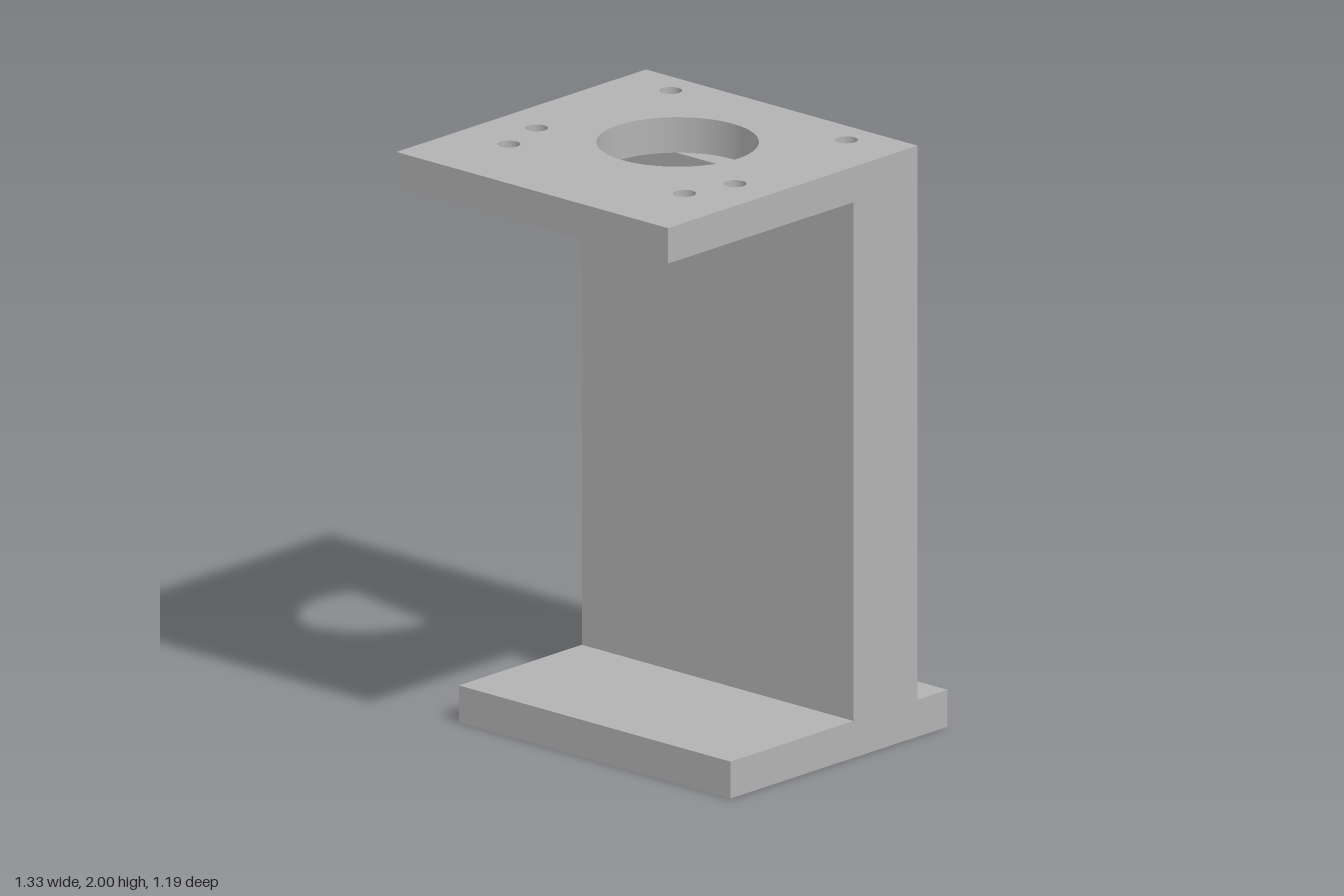
import * as THREE from 'three';

const DEPTH = 1.19; // shared z width of all three slabs

export function createModel() {
  const group = new THREE.Group();
  const greyMetal = new THREE.MeshStandardMaterial({ color: 0xb2b2b2 });
  greyMetal.name = 'greyMetal';

  const add = (name, geometry) => {
    const mesh = new THREE.Mesh(geometry, greyMetal);
    mesh.name = name;
    group.add(mesh);
  };

  // Box given by its x and y extents
  const slab = (name, x0, x1, y0, y1) =>
    add(name, new THREE.BoxGeometry(x1 - x0, y1 - y0, DEPTH)
      .translate((x0 + x1) / 2, (y0 + y1) / 2, 0));

  // Foot and upright
  slab('basePlate', -0.37, 0.663, 0, 0.125);
  slab('uprightWall', 0.215, 0.52, 0.125, 1.88);

  // Mounting plate with a large bore and six bolt holes
  const x0 = -0.667, x1 = 0.52, h = DEPTH / 2;
  const plate = new THREE.Shape([
    new THREE.Vector2(x0, -h), new THREE.Vector2(x1, -h),
    new THREE.Vector2(x1, h), new THREE.Vector2(x0, h),
  ]);
  const hole = (x, z, r) =>
    plate.holes.push(new THREE.Path().absarc(x, z, r, 0, Math.PI * 2, true));
  hole(0.025, 0, 0.262);
  for (const side of [-1, 1]) {
    hole(-0.36, side * 0.385, 0.037);
    hole(0.41, side * 0.385, 0.037);
    hole(-0.174, side * 0.435, 0.037);
  }
  add('mountingPlate', new THREE.ExtrudeGeometry(plate, {
    depth: 0.12, bevelEnabled: false, curveSegments: 48,
  }).rotateX(Math.PI / 2).translate(0, 2, 0));

  return group;
}
